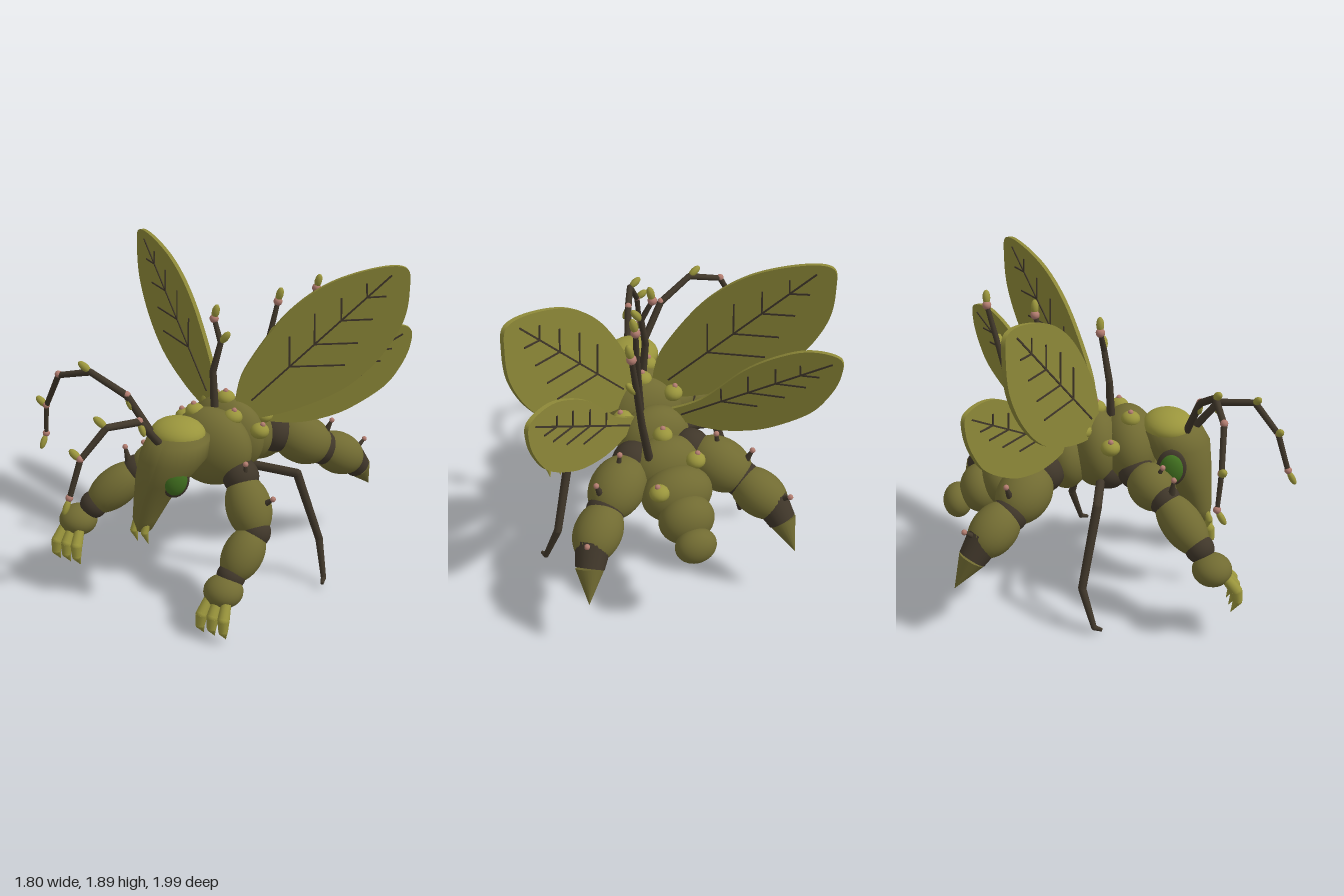
import * as THREE from 'three';

const MID = 0.02; // mirror plane of the body
const paint = (name, color) => {
  const m = new THREE.MeshStandardMaterial({ color });
  m.name = name;
  return m;
};
const V = (p) => new THREE.Vector3(...p);
const UP = new THREE.Vector3(0, 1, 0);

export function createModel() {
  const root = new THREE.Group();
  root.name = 'plantInsect';
  const olive = paint('olive shell', 0x716b32);
  const leaf = paint('leaf wing', 0x8d8838);
  const light = paint('light green', 0x9a953c);
  const bark = paint('dark bark', 0x40372a);
  const pink = paint('pink bud', 0xb37d70);
  const eyeGreen = paint('eye green', 0x41701f);

  const group = (name, parent = root) => {
    const g = new THREE.Group();
    g.name = name;
    parent.add(g);
    return g;
  };
  const add = (parent, name, geo, mat) => {
    const m = new THREE.Mesh(geo, mat);
    m.name = name;
    parent.add(m);
    return m;
  };
  // Ellipsoid at a point
  const blob = (parent, name, mat, c, r, seg = 24) => {
    const m = add(parent, name, new THREE.SphereGeometry(1, seg, Math.ceil(seg * 0.66)), mat);
    m.position.set(...c);
    m.scale.set(...(Array.isArray(r) ? r : [r, r, r]));
    return m;
  };
  const aim = (m, a, b) => {
    m.position.copy(a).add(b).multiplyScalar(0.5);
    m.quaternion.setFromUnitVectors(UP, b.clone().sub(a).normalize());
    return m;
  };
  // Ellipsoid stretched between two points
  const muscle = (parent, name, mat, a, b, r, seg = 24) => {
    const m = blob(parent, name, mat, [0, 0, 0], [r, V(a).distanceTo(V(b)) / 2, r], seg);
    return aim(m, V(a), V(b));
  };
  // Tapered rod between two points
  const rod = (parent, name, mat, a, b, r0, r1, seg = 10) => {
    const geo = new THREE.CylinderGeometry(r1, r0, V(a).distanceTo(V(b)), seg);
    return aim(add(parent, name, geo, mat), V(a), V(b));
  };
  // Rods joined by round knuckles, tapering along the way
  const chain = (parent, name, mat, pts, radii, seg = 10) => {
    for (let i = 0; i < pts.length - 1; i++) {
      rod(parent, name, mat, pts[i], pts[i + 1], radii[i], radii[i + 1], seg);
      if (i) blob(parent, name + 'Joint', mat, pts[i], radii[i], seg);
    }
  };
  const mirror = (s) => (p) => [MID + s * (p[0] - MID), p[1], p[2]];
  const shift = (p, x, y, z) => [p[0] + x, p[1] + y, p[2] + z];
  const thorn = (parent, base, tip) => {
    rod(parent, 'thorn', bark, base, tip, 0.022, 0.009, 8);
    blob(parent, 'thornTip', pink, tip, 0.016, 10);
  };

  // Thorax and abdomen: overlapping segments, [z, y, rx, ry, rz]
  const body = group('body');
  [[0.08, 0.88, 0.25, 0.23, 0.17], [-0.11, 0.88, 0.235, 0.24, 0.15], [-0.28, 0.83, 0.21, 0.2, 0.14],
    [-0.46, 0.76, 0.21, 0.18, 0.15], [-0.64, 0.7, 0.2, 0.16, 0.14], [-0.78, 0.63, 0.155, 0.14, 0.12],
    [-0.915, 0.555, 0.115, 0.1, 0.085],
  ].forEach(([z, y, rx, ry, rz], i) => blob(body, 'bodySegment' + (i + 1), olive, [MID, y, z], [rx, ry, rz], 32));
  blob(body, 'belly', bark, [MID, 0.75, -0.04], [0.2, 0.125, 0.14]);

  // Pink-tipped nodes on the back
  [[-0.08, 1.08, 0.085], [0.14, 1.07, 0.04], [-0.22, 0.97, -0.04], [0.26, 0.97, -0.06], [-0.13, 1.04, -0.19],
    [0.19, 0.98, -0.25], [0.02, 0.94, -0.42], [-0.11, 0.85, -0.58], [0.15, 0.79, -0.71], [0.02, 1.11, -0.1],
  ].forEach((p) => {
    blob(body, 'backNode', light, p, [0.055, 0.045, 0.055], 16);
    blob(body, 'backNodeTip', pink, shift(p, (p[0] - MID) * 0.08, 0.043, 0), 0.016, 10);
  });

  // Head: horizontal rings tapering to the snout, [y, radius, x, z]
  const head = group('head');
  const rings = [[0.475, 0.005, -0.19, 0.49], [0.49, 0.05, -0.19, 0.485], [0.56, 0.075, -0.18, 0.472],
    [0.68, 0.105, -0.15, 0.445], [0.8, 0.15, -0.11, 0.4], [0.93, 0.19, -0.06, 0.355],
    [1.02, 0.175, -0.05, 0.32], [1.06, 0.1, -0.05, 0.31], [1.07, 0.003, -0.05, 0.31]];
  const headGeo = new THREE.LatheGeometry(rings.map(([y, r]) => new THREE.Vector2(r, y)), 28);
  const hp = headGeo.attributes.position;
  for (let i = 0; i < hp.count; i++) {
    const [, , x, z] = rings[i % rings.length];
    hp.setXYZ(i, hp.getX(i) + x, hp.getY(i), hp.getZ(i) + z);
  }
  headGeo.computeVertexNormals();
  add(head, 'snout', headGeo, olive);
  blob(head, 'crown', light, [-0.065, 1.03, 0.3], [0.157, 0.09, 0.145]);
  for (const x of [-0.22, -0.15]) {
    chain(head, 'mandible', light, [[x, 0.56, 0.5], [x - 0.005, 0.49, 0.53], [x + 0.005, 0.41, 0.51]], [0.02, 0.022, 0.001]);
  }
  [[[0.005, 0.835, 0.46], [0.65, 0, 0.65]], [[-0.245, 0.845, 0.3], [-1, 0, -0.15]]].forEach(([c, n]) => {
    const eye = group('eye', head);
    blob(eye, 'eyeRim', bark, [0, 0, 0], [0.085, 0.112, 0.035]);
    blob(eye, 'eyeLens', eyeGreen, [0, 0, 0.013], [0.068, 0.092, 0.042]);
    eye.position.set(...c);
    eye.lookAt(V(c).add(V(n)));
  });

  // Antennae with buds at the joints
  [[[-0.14, 0.98, 0.38], [-0.3, 1.26, 0.44], [-0.5, 1.375, 0.485], [-0.71, 1.32, 0.495], [-0.83, 1.1, 0.47], [-0.86, 0.91, 0.45]],
    [[-0.08, 0.98, 0.42], [-0.14, 1.19, 0.57], [-0.22, 1.215, 0.76], [-0.31, 1.06, 0.88], [-0.35, 0.85, 0.94]],
  ].forEach((pts) => {
    const ant = group('antenna');
    chain(ant, 'antennaRod', bark, pts, [0.022, 0.021, 0.019, 0.017, 0.015, 0.012]);
    pts.slice(1).forEach((p, i) => i !== 1 && blob(ant, 'antennaBud', pink, shift(p, 0, 0.005, 0), 0.021, 12));
    const n = pts.length - 1;
    muscle(ant, 'antennaLeaf', light, pts[n], shift(pts[n], -0.01, -0.08, 0.045), 0.018, 12);
    muscle(ant, 'antennaLeaf', light, pts[n - 1], shift(pts[n - 1], -0.065, 0.045, 0), 0.022, 12);
    muscle(ant, 'antennaLeaf', light, pts[2], shift(pts[2], -0.07, 0.05, 0.01), 0.022, 12);
    muscle(ant, 'antennaLeaf', light, pts[1], shift(pts[1], 0.03, -0.08, 0), 0.018, 12);
  });

  // Budding stalks on the back
  [[[-0.01, 1.08, -0.02], [-0.025, 1.29, -0.03], [0.01, 1.46, -0.055], [-0.045, 1.585, -0.08]],
    [[0.08, 0.95, -0.24], [0.12, 1.22, -0.31], [0.155, 1.42, -0.38], [0.18, 1.62, -0.43]],
    [[0.12, 0.82, -0.5], [0.2, 1.15, -0.58], [0.25, 1.4, -0.64], [0.3, 1.645, -0.7]],
  ].forEach((pts) => {
    const stalk = group('backStalk');
    chain(stalk, 'stalkRod', bark, pts, [0.024, 0.02, 0.017, 0.014]);
    blob(stalk, 'stalkBud', pink, pts[3], 0.026, 14);
    muscle(stalk, 'stalkLeaf', light, pts[3], shift(pts[3], 0.02, 0.085, 0), 0.022, 12);
    muscle(stalk, 'stalkLeaf', light, pts[2], shift(pts[2], 0.055, 0.07, 0), 0.022, 12);
  });

  // Wings: upright leaf plates, outline given as x and y, stretched along the swept-back plane
  const wing = (name, s, hinge, sweep, outline, rib, veins) => {
    const g = group(name);
    const k = 1 / Math.cos(sweep);
    const flat = ([x, y]) => new THREE.Vector2((x - hinge[0]) * k, y);
    const shape = new THREE.Shape();
    const pts = outline.map(flat);
    shape.moveTo(pts[0].x, pts[0].y);
    shape.splineThru([...pts.slice(1), pts[0]]);
    const geo = new THREE.ExtrudeGeometry(shape, { depth: 0.024, bevelEnabled: false, curveSegments: 20 });
    add(g, 'wingLeaf', geo.translate(0, 0, -0.012), leaf);
    const vein = (a, b, w) => {
      const [p, q] = [flat(a), flat(b)];
      const m = add(g, 'wingVein', new THREE.BoxGeometry(p.distanceTo(q), w, 0.034), bark);
      m.position.set((p.x + q.x) / 2, (p.y + q.y) / 2, 0);
      m.rotation.z = Math.atan2(q.y - p.y, q.x - p.x);
    };
    vein(rib[0], rib[1], 0.009);
    veins.forEach(([t, out, up]) => {
      const c = [0, 1].map((i) => rib[0][i] + (rib[1][i] - rib[0][i]) * t);
      vein(c, [c[0] + out, c[1] + 0.005], 0.009);
      vein(c, [c[0] - 0.005, c[1] + up], 0.009);
    });
    g.position.set(...mirror(s)([hinge[0], 0, hinge[1]]));
    g.rotation.y = s > 0 ? sweep : Math.PI - sweep;
  };
  const big = [[0.08, 1.0], [0.09, 1.17], [0.14, 1.33], [0.31, 1.61], [0.5, 1.785], [0.72, 1.875], [0.875, 1.88],
    [0.9, 1.76], [0.88, 1.57], [0.78, 1.36], [0.62, 1.18], [0.4, 1.06], [0.2, 1.0]];
  const small = [[0.11, 0.98], [0.27, 1.09], [0.45, 1.31], [0.6, 1.43], [0.73, 1.485], [0.85, 1.465], [0.86, 1.36],
    [0.82, 1.23], [0.74, 1.1], [0.57, 0.97], [0.42, 0.915], [0.3, 0.905], [0.17, 0.93]];

  for (const s of [1, -1]) {
    const f = mirror(s);
    const side = s > 0 ? 'left' : 'right';
    wing(side + 'FrontWing', s, [0.08, -0.1], 0.54, big, [[0.16, 1.11], [0.81, 1.84]],
      [[0.28, 0.27, 0.18], [0.46, 0.21, 0.18], [0.65, 0.15, 0.13], [0.83, 0.09, 0.08]]);
    wing(side + 'BackWing', s, [0.11, -0.25], 0.632, small, [[0.18, 0.97], [0.82, 1.43]],
      [[0.28, 0.16, 0.08], [0.46, 0.16, 0.1], [0.64, 0.13, 0.09], [0.8, 0.08, 0.06]]);

    // Thin middle leg
    chain(group(side + 'MiddleLeg'), 'legRod', bark, [[0.18, 0.73, -0.09], [0.47, 0.72, -0.13], [0.585, 0.27, -0.225],
      [0.65, 0.05, -0.165], [0.66, 0.038, -0.12]].map(f), [0.026, 0.026, 0.023, 0.016, 0.01]);

    // Stout hind leg ending in a spike
    const hind = group(side + 'HindLeg');
    blob(hind, 'hip', bark, f([0.19, 0.8, -0.41]), 0.115);
    muscle(hind, 'thigh', olive, f([0.18, 0.82, -0.42]), f([0.46, 0.66, -0.63]), 0.15, 28);
    blob(hind, 'knee', bark, f([0.42, 0.67, -0.61]), 0.105);
    muscle(hind, 'shin', olive, f([0.38, 0.7, -0.59]), f([0.6, 0.53, -0.8]), 0.13, 28);
    rod(hind, 'ankle', bark, f([0.535, 0.59, -0.745]), f([0.58, 0.49, -0.82]), 0.1, 0.078, 20);
    rod(hind, 'spike', olive, f([0.58, 0.49, -0.82]), f([0.62, 0.335, -0.92]), 0.078, 0.001, 20);
    thorn(hind, f([0.31, 0.84, -0.51]), f([0.3, 0.94, -0.51]));
    thorn(hind, f([0.56, 0.6, -0.77]), f([0.6, 0.67, -0.85]));
    thorn(hind, f([0.44, 0.78, -0.6]), f([0.47, 0.86, -0.62]));
  }

  // Stout grasping forelegs, posed differently on each side
  const foreleg = (name, shoulder, elbow, wrist, hand, thorns) => {
    const g = group(name);
    const mix = (a, b, t) => V(a).lerp(V(b), t).toArray();
    blob(g, 'shoulder', bark, shoulder, 0.105);
    muscle(g, 'upperArm', olive, mix(shoulder, elbow, -0.02), mix(shoulder, elbow, 1.12), 0.13, 28);
    blob(g, 'elbow', bark, elbow, 0.09);
    muscle(g, 'forearm', olive, mix(elbow, wrist, -0.1), mix(elbow, wrist, 1.1), 0.115, 28);
    blob(g, 'wrist', bark, wrist, 0.082);
    blob(g, 'hand', olive, hand, [0.112, 0.09, 0.11]);
    for (const i of [-1, 0, 1]) {
      chain(g, 'claw', light, [shift(hand, i * 0.055, -0.03, 0.07), shift(hand, i * 0.068, -0.1, 0.125),
        shift(hand, i * 0.072, -0.16, 0.135), shift(hand, i * 0.07, -0.235, 0.1)], [0.028, 0.034, 0.027, 0.001], 12);
    }
    thorns.forEach(([a, b]) => thorn(g, a, b));
  };
  foreleg('leftForeleg', [0.23, 0.75, 0.11], [0.39, 0.5, 0.24], [0.34, 0.3, 0.43], [0.33, 0.24, 0.5],
    [[[0.28, 0.77, 0.15], [0.285, 0.86, 0.16]], [[0.41, 0.65, 0.19], [0.47, 0.7, 0.185]]]);
  foreleg('rightForeleg', [-0.16, 0.79, 0.11], [-0.37, 0.71, 0.25], [-0.57, 0.51, 0.42], [-0.645, 0.42, 0.48],
    [[[-0.31, 0.8, 0.2], [-0.33, 0.89, 0.24]], [[-0.41, 0.76, 0.28], [-0.425, 0.86, 0.29]]]);

  return root;
}
